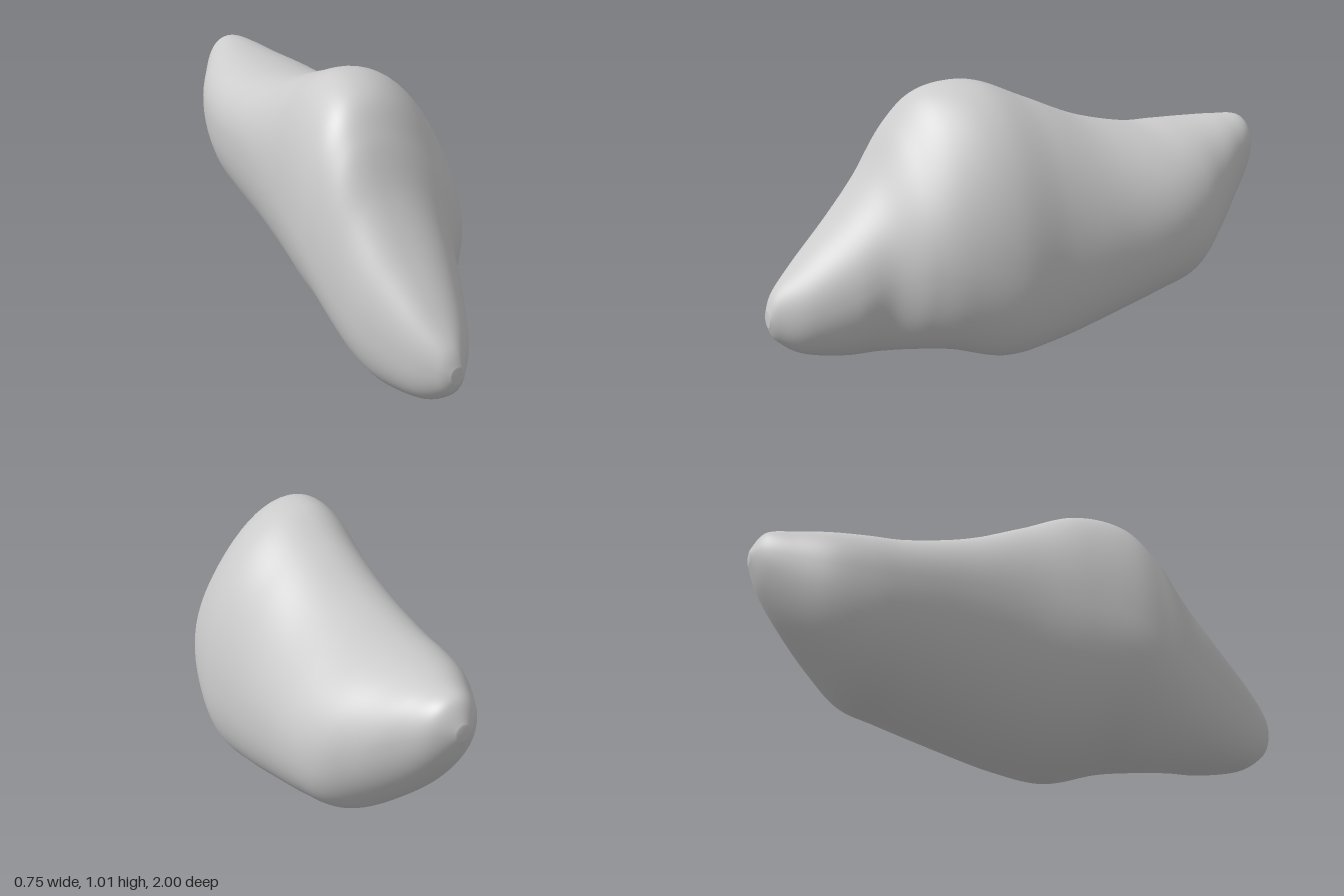
import * as THREE from 'three';

// Cross-sections from front to back:
// z, xLeft, xRight, yBottom, yTop, xAtTop, xAtBottom, yAtLeft, yAtRight
const SECTIONS = [
  [1.0, -0.165, -0.115, 0.165, 0.225, -0.14, -0.14, 0.20, 0.195],
  [0.97, -0.205, -0.085, 0.11, 0.29, -0.15, -0.14, 0.21, 0.20],
  [0.88, -0.265, -0.01, 0.05, 0.385, -0.165, -0.14, 0.23, 0.22],
  [0.73, -0.328, 0.07, 0.022, 0.54, -0.17, -0.13, 0.29, 0.28],
  [0.61, -0.355, 0.125, 0.025, 0.69, -0.17, -0.10, 0.36, 0.36],
  [0.50, -0.37, 0.23, 0.038, 0.87, -0.16, -0.03, 0.43, 0.41],
  [0.38, -0.374, 0.298, 0.043, 0.985, -0.13, 0.05, 0.49, 0.39],
  [0.20, -0.345, 0.345, 0.005, 1.012, -0.09, 0.10, 0.53, 0.36],
  [0.0, -0.308, 0.345, 0.03, 0.94, -0.06, 0.11, 0.56, 0.37],
  [-0.22, -0.283, 0.357, 0.09, 0.855, -0.04, 0.11, 0.58, 0.41],
  [-0.45, -0.262, 0.371, 0.16, 0.808, -0.02, 0.10, 0.58, 0.45],
  [-0.60, -0.24, 0.345, 0.205, 0.806, -0.01, 0.09, 0.59, 0.47],
  [-0.73, -0.20, 0.272, 0.305, 0.808, 0.0, 0.07, 0.61, 0.54],
  [-0.85, -0.13, 0.195, 0.425, 0.81, 0.02, 0.05, 0.65, 0.63],
  [-0.95, -0.06, 0.13, 0.56, 0.80, 0.03, 0.04, 0.69, 0.69],
  [-1.0, 0.005, 0.055, 0.67, 0.725, 0.03, 0.03, 0.70, 0.70],
];

// Corner exponents per section (below 1 is fuller):
// upper right, upper left, lower left, lower right
const CORNERS = [
  [1, 1, 1, 1],
  [0.96, 0.92, 0.92, 1],
  [0.93, 0.88, 0.88, 1],
  [0.93, 0.87, 0.87, 1.02],
  [0.97, 0.89, 0.88, 1.06],
  [1.05, 0.91, 0.92, 1.03],
  [1.03, 0.9, 0.97, 0.96],
  [1.01, 0.89, 1, 0.9],
  [1, 0.91, 1, 0.9],
  [1, 0.9, 1, 0.9],
  [0.98, 0.88, 0.98, 0.9],
  [0.98, 0.88, 0.95, 0.9],
  [0.98, 0.9, 0.93, 0.92],
  [0.98, 0.95, 0.94, 0.94],
  [1, 1, 0.97, 0.97],
  [1, 1, 1, 1],
];

const AROUND = 72;
const STEPS = 8;

// Smooth interpolation between the rows of a table
function rowAt(table, u) {
  const last = table.length - 1;
  const i = Math.min(Math.floor(u), last - 1);
  const t = u - i, t2 = t * t, t3 = t2 * t;
  const row = (k) => table[THREE.MathUtils.clamp(k, 0, last)];
  const [a, b, c, d] = [row(i - 1), row(i), row(i + 1), row(i + 2)];
  return b.map((v, k) => v * (2 * t3 - 3 * t2 + 1) + (c[k] - a[k]) / 2 * (t3 - 2 * t2 + t)
    + c[k] * (3 * t2 - 2 * t3) + (d[k] - v) / 2 * (t3 - t2));
}

// Four quarter arcs joined at the right, top, left and bottom extremes
function sectionPoint(section, corners, angle) {
  const [z, xl, xr, yb, yt, xt, xb, yl, yr] = section;
  const c = Math.cos(angle), s = Math.sin(angle);
  const cx = s >= 0 ? xt : xb;
  const cy = c >= 0 ? yr : yl;
  const power = corners[s >= 0 ? (c >= 0 ? 0 : 1) : (c >= 0 ? 3 : 2)];
  // Shallow valley between the nose ridge and the right-hand lobe
  const valley = c > 0 && s > 0
    ? 0.05 * Math.exp(-(((z - 0.46) / 0.15) ** 2)) * Math.sin(2 * angle) ** 2 : 0;
  return [
    cx + ((c >= 0 ? xr : xl) - cx) * Math.abs(c) ** power * (1 - valley),
    cy + ((s >= 0 ? yt : yb) - cy) * Math.abs(s) ** power * (1 - valley),
    z,
  ];
}

function boulderGeometry() {
  const positions = [], index = [];
  const rings = (SECTIONS.length - 1) * STEPS;
  for (let r = 0; r <= rings; r++) {
    const section = rowAt(SECTIONS, r / STEPS);
    const corners = rowAt(CORNERS, r / STEPS);
    for (let j = 0; j < AROUND; j++) {
      positions.push(...sectionPoint(section, corners, (j / AROUND) * Math.PI * 2));
    }
  }
  for (let r = 0; r < rings; r++) {
    for (let j = 0; j < AROUND; j++) {
      const k = (j + 1) % AROUND;
      const a = r * AROUND + j, b = r * AROUND + k;
      const c = a + AROUND, d = b + AROUND;
      index.push(a, c, b, b, c, d);
    }
  }
  // Close both tips
  const first = SECTIONS[0], end = SECTIONS[SECTIONS.length - 1];
  const front = positions.length / 3;
  positions.push(first[5], first[7], first[0], end[5], end[7], end[0]);
  for (let j = 0; j < AROUND; j++) {
    const k = (j + 1) % AROUND;
    index.push(front, j, k);
    index.push(front + 1, rings * AROUND + k, rings * AROUND + j);
  }
  const geometry = new THREE.BufferGeometry();
  geometry.setAttribute('position', new THREE.Float32BufferAttribute(positions, 3));
  geometry.setIndex(index);
  geometry.computeVertexNormals();
  return geometry;
}

export function createModel() {
  const group = new THREE.Group();
  group.name = 'rock';
  const boulder = new THREE.Mesh(
    boulderGeometry(),
    new THREE.MeshStandardMaterial({ color: 0xcccccc }),
  );
  boulder.name = 'boulder';
  group.add(boulder);
  return group;
}
